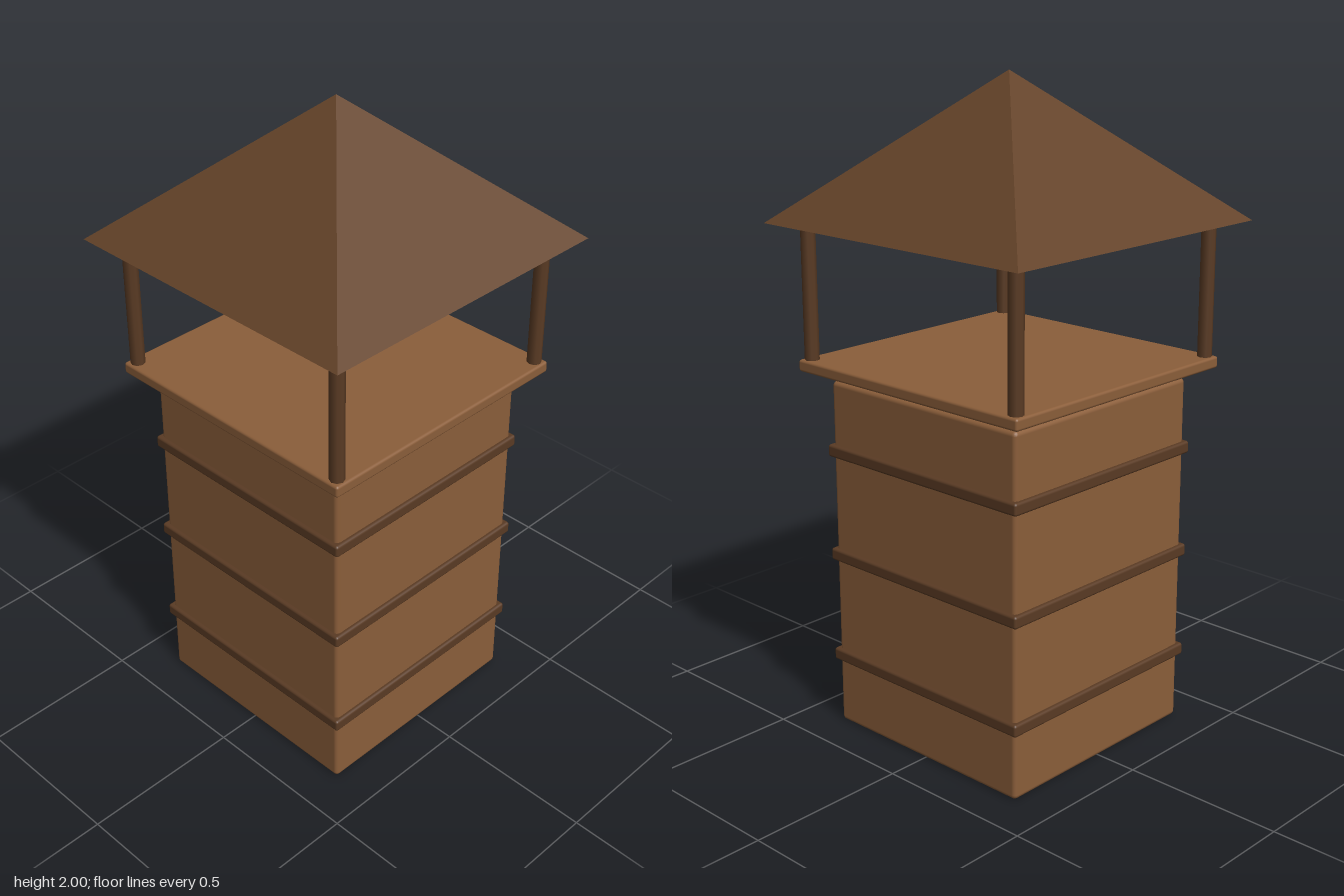
import * as THREE from 'three';
import { RoundedBoxGeometry } from 'three/addons/geometries/RoundedBoxGeometry.js';

function material(name, color) {
  const m = new THREE.MeshStandardMaterial({ color });
  m.name = name;
  return m;
}

export function createModel() {
  const group = new THREE.Group();
  const clay = material('clay brown', 0x8b5e3a);
  const timber = material('dark timber', 0x5a3b24);
  const roofing = material('roof brown', 0x634228);

  function add(name, geometry, mat, x, y, z) {
    const mesh = new THREE.Mesh(geometry, mat);
    mesh.name = name;
    mesh.position.set(x, y, z);
    group.add(mesh);
    return mesh;
  }

  // Square slab with softened edges, placed by its lower and upper heights
  function slab(name, width, y0, y1, radius, mat) {
    add(name, new RoundedBoxGeometry(width, y1 - y0, width, 2, radius), mat, 0, (y0 + y1) / 2, 0);
  }

  // Shaft with three raised bands
  slab('shaft', 0.74, 0, 1.1, 0.014, clay);
  for (const y of [0.225, 0.555, 0.885]) slab('band', 0.764, y - 0.019, y + 0.019, 0.008, timber);

  // Platform floating just above the shaft
  slab('platform', 0.874, 1.13, 1.166, 0.008, clay);

  // Corner posts
  const post = new THREE.CylinderGeometry(0.022, 0.022, 0.41, 8);
  for (const x of [-1, 1]) {
    for (const z of [-1, 1]) add('post', post, timber, x * 0.408, 1.365, z * 0.408);
  }

  // Pyramid roof with a closed underside
  const roof = new THREE.ConeGeometry(0.496 * Math.SQRT2, 0.43, 4).toNonIndexed();
  roof.rotateY(Math.PI / 4);
  roof.computeVertexNormals();
  add('roof', roof, roofing, 0, 1.785, 0);

  return group;
}
